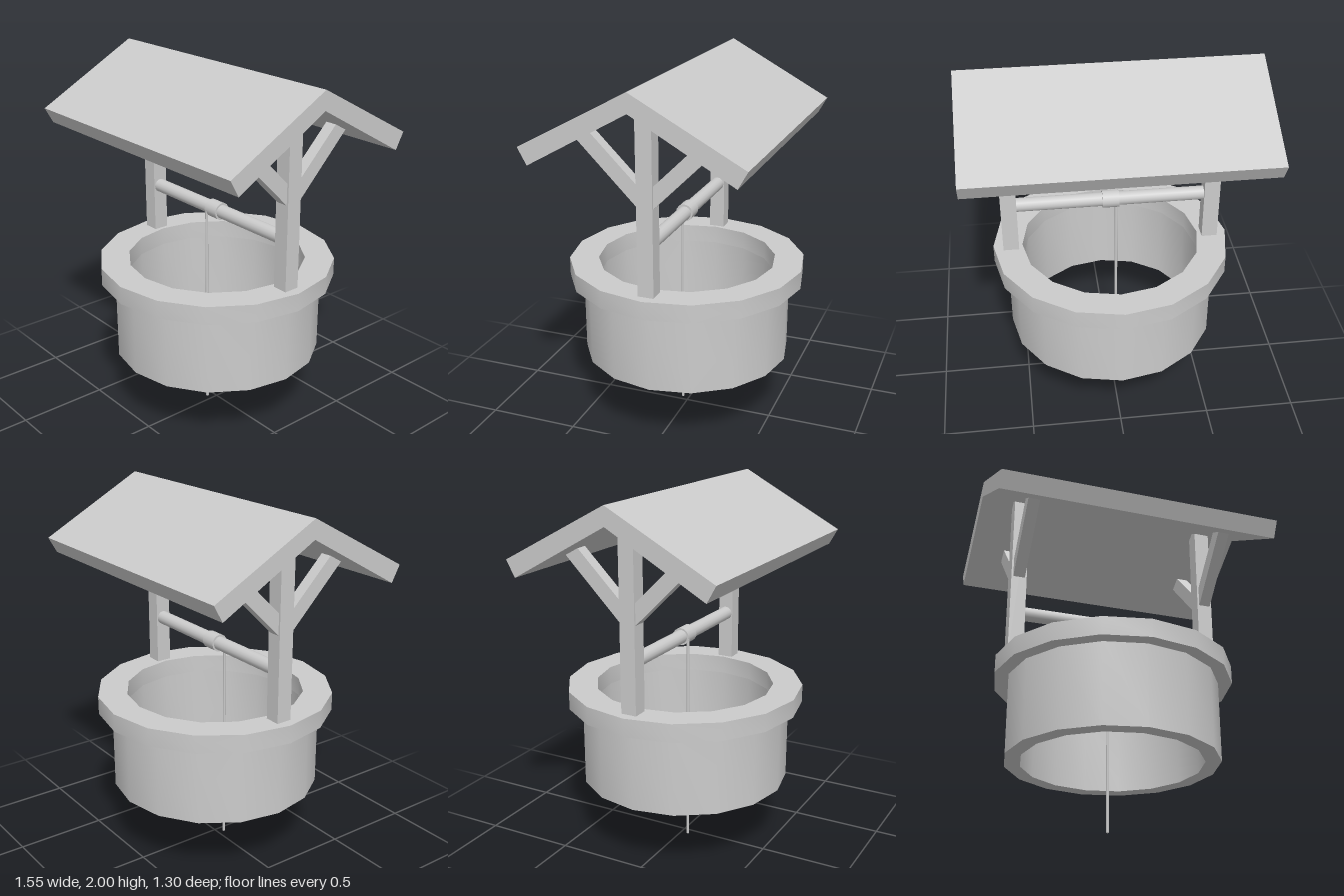
import * as THREE from 'three';
import { toCreasedNormals } from 'three/addons/utils/BufferGeometryUtils.js';

const SIDES = 16;

export function createModel() {
  const model = new THREE.Group();
  model.name = 'wishingWell';
  const material = new THREE.MeshStandardMaterial({ color: 0xcccccc });

  const add = (name, geometry, x = 0, y = 0, z = 0) => {
    const mesh = new THREE.Mesh(geometry, material);
    mesh.name = name;
    mesh.position.set(x, y, z);
    model.add(mesh);
    return mesh;
  };

  // Hollow ring with sharp rims and smooth sides
  const ring = (outer, inner, y0, y1) => {
    const profile = [[outer, y0], [outer, y1], [inner, y1], [inner, y0], [outer, y0]]
      .map(([r, y]) => new THREE.Vector2(r, y));
    return toCreasedNormals(new THREE.LatheGeometry(profile, SIDES), Math.PI / 6);
  };

  // Side outline given as [z, y] points, extruded along x and centred on it
  const slab = (outline, width) => {
    const shape = new THREE.Shape(outline.map(([z, y]) => new THREE.Vector2(z, y)));
    const geometry = new THREE.ExtrudeGeometry(shape, { depth: width, bevelEnabled: false });
    return geometry.translate(0, 0, -width / 2).rotateY(-Math.PI / 2);
  };

  // Well body
  add('wall', ring(0.575, 0.49, 0.38, 0.82));
  add('rim', ring(0.65, 0.49, 0.82, 0.92));

  // Gabled roof
  add('roof', slab([
    [0, 2], [-0.575, 1.692], [-0.527, 1.605], [0, 1.9], [0.527, 1.605], [0.575, 1.692],
  ], 1.55));

  // Posts with pointed tops, each carrying a front and a back brace
  for (const [side, label] of [[1, 'left'], [-1, 'right']]) {
    const x = side * 0.552;
    add(label + 'Post', slab([
      [-0.043, 0.9], [0.043, 0.9], [0.043, 1.876], [0, 1.9], [-0.043, 1.876],
    ], 0.086), x);
    for (const [dir, end] of [[1, 'Front'], [-1, 'Back']]) {
      const outline = [[0.043, 1.39], [0.355, 1.702], [0.283, 1.743], [0.043, 1.505]];
      add(label + end + 'Brace', slab(outline.map(([z, y]) => [dir * z, y]), 0.065), x);
    }
  }

  // Windlass: axle, rope coil and hanging rope
  const axleY = 1.187;
  add('axle', new THREE.CylinderGeometry(0.038, 0.038, 1.03, SIDES).rotateZ(Math.PI / 2), 0, axleY);
  add('ropeCoil', new THREE.CylinderGeometry(0.048, 0.048, 0.09, SIDES).rotateZ(Math.PI / 2), 0, axleY);
  add('rope', new THREE.CylinderGeometry(0.008, 0.008, 1.18, 8), -0.037, 0.59, 0.04);

  return model;
}
